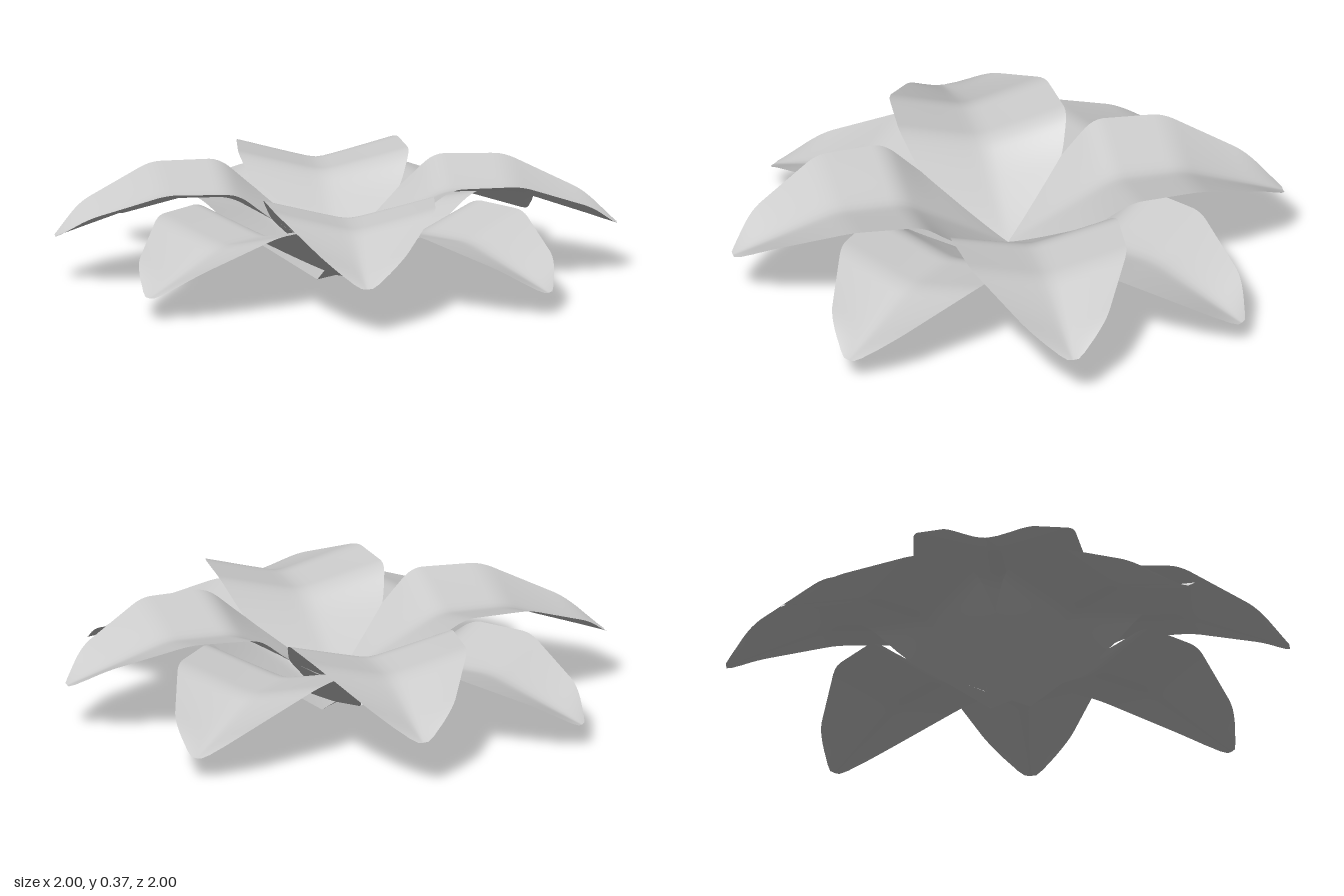
import * as THREE from 'three';

// Petal stations from base to tip: [distance, half width, rib height, edge height]
const STATIONS = [
  [0, 0.1, 0, 0],
  [0.26, 0.26, 0.143, 0.18],
  [0.38, 0.305, 0.21, 0.28],
  [0.63, 0.285, 0.21, 0.28],
  [0.9, 0.145, 0.115, 0.168],
  [0.985, 0.045, 0.085, 0.092],
  [1, 0.02, 0.08, 0.082],
];

function sample(u, column) {
  let i = 1;
  while (i < STATIONS.length - 1 && u > STATIONS[i][0]) i++;
  const a = STATIONS[i - 1], b = STATIONS[i];
  return THREE.MathUtils.lerp(a[column], b[column], (u - a[0]) / (b[0] - a[0]));
}

// Average over a short window, which softens the bends
function soft(u, column) {
  const h = Math.min(0.035, u, 1 - u);
  let sum = 0;
  for (let k = -3; k <= 3; k++) sum += sample(u + (k / 3) * h, column);
  return sum / 7;
}

// A thin sheet folded into a shallow valley along its rib, pointing to +z
function petalGeometry() {
  const geometry = new THREE.PlaneGeometry(2, 1, 20, 60).rotateX(-Math.PI / 2);
  const p = geometry.attributes.position;
  for (let i = 0; i < p.count; i++) {
    const u = THREE.MathUtils.clamp(p.getZ(i) + 0.5, 0, 1);
    const t = p.getX(i);
    const fold = (Math.hypot(t, 0.08) - 0.08) / (Math.hypot(1, 0.08) - 0.08);
    const rib = soft(u, 2), edge = soft(u, 3);
    p.setXYZ(i, t * soft(u, 1), rib + (edge - rib) * fold, u);
  }
  geometry.computeVertexNormals();
  return geometry;
}

export function createModel() {
  const flower = new THREE.Group();
  flower.name = 'flower';
  const material = new THREE.MeshStandardMaterial({ color: 0xcccccc, side: THREE.DoubleSide });
  const geometry = petalGeometry();

  // Two rings of four petals, the upper one raised and turned between the lower
  const rings = [
    { name: 'lowerPetal', height: 0, turn: 0 },
    { name: 'upperPetal', height: 0.085, turn: 47.6 },
  ];
  for (const { name, height, turn } of rings) {
    for (let k = 0; k < 4; k++) {
      const petal = new THREE.Mesh(geometry, material);
      petal.name = name + (k + 1);
      petal.position.y = height;
      petal.rotation.y = THREE.MathUtils.degToRad(turn + k * 90);
      flower.add(petal);
    }
  }
  return flower;
}
